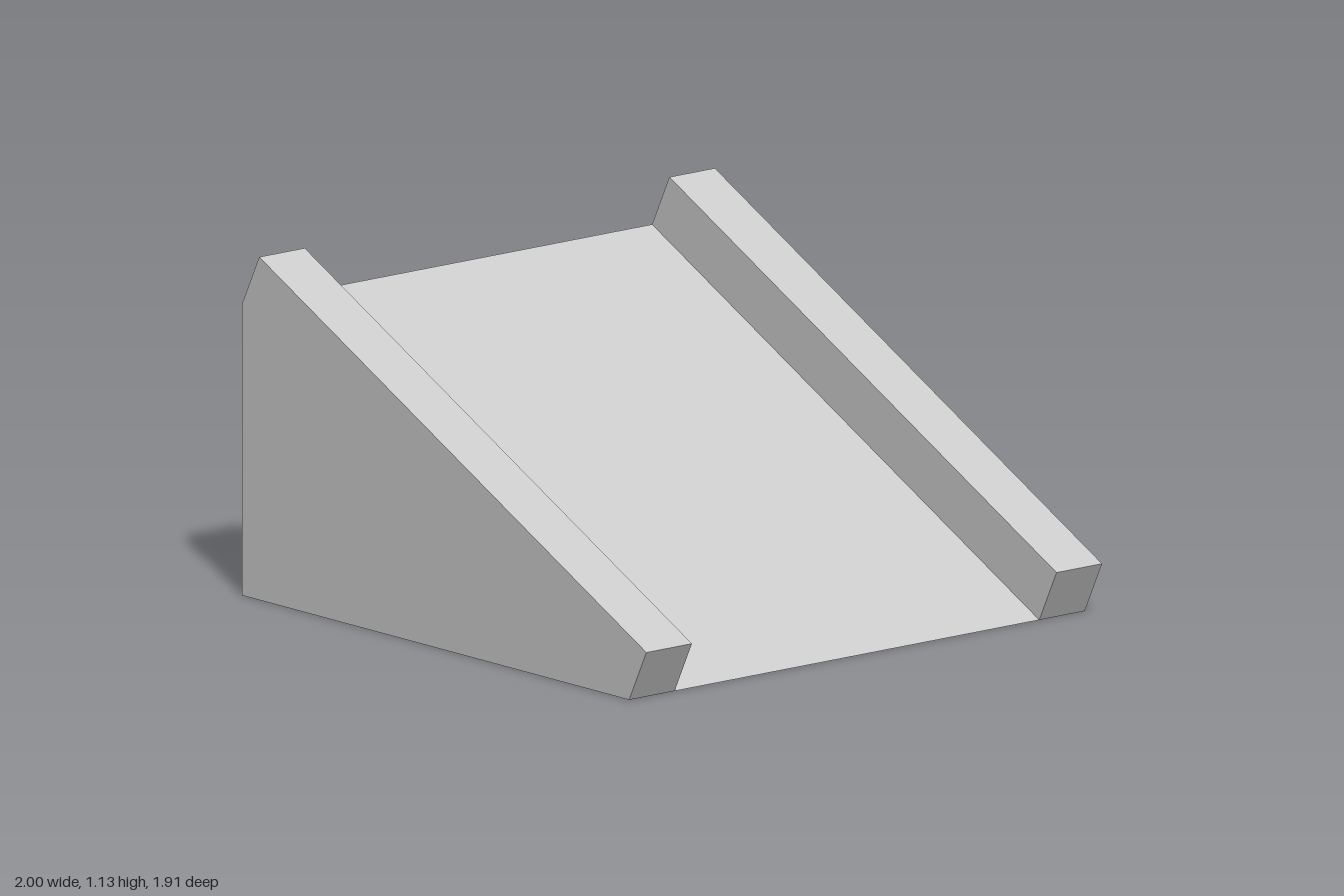
import * as THREE from 'three';

const RUN = 0.912;      // x of the ramp's toe
const HEIGHT = 0.956;   // height of the ramp's top edge
const HALF_WIDTH = 0.956;
const CURB = 0.191;     // curb thickness, also its height square to the slope

export function createModel() {
  const group = new THREE.Group();
  const material = new THREE.MeshStandardMaterial({ color: 0xcccccc, flatShading: true });

  // Extrudes a side profile along z, from zStart over the given depth
  const addSlab = (name, points, zStart, depth) => {
    const shape = new THREE.Shape(points.map(([x, y]) => new THREE.Vector2(x, y)));
    const geometry = new THREE.ExtrudeGeometry(shape, { depth, bevelEnabled: false });
    geometry.translate(0, 0, zStart);
    const mesh = new THREE.Mesh(geometry, material);
    mesh.name = name;
    group.add(mesh);
  };

  // Sloping wedge across the full width
  const wedge = [[-1, 0], [RUN, 0], [-1, HEIGHT]];
  addSlab('rampWedge', wedge, -HALF_WIDTH, 2 * HALF_WIDTH);

  // Raised curbs along both edges, standing square to the slope
  const slope = Math.atan2(HEIGHT, RUN + 1);
  const dx = CURB * Math.sin(slope);
  const dy = CURB * Math.cos(slope);
  const curb = [[RUN, 0], [RUN + dx, dy], [-1 + dx, HEIGHT + dy], [-1, HEIGHT]];
  addSlab('frontCurb', curb, HALF_WIDTH - CURB, CURB);
  addSlab('backCurb', curb, -HALF_WIDTH, CURB);

  return group;
}
